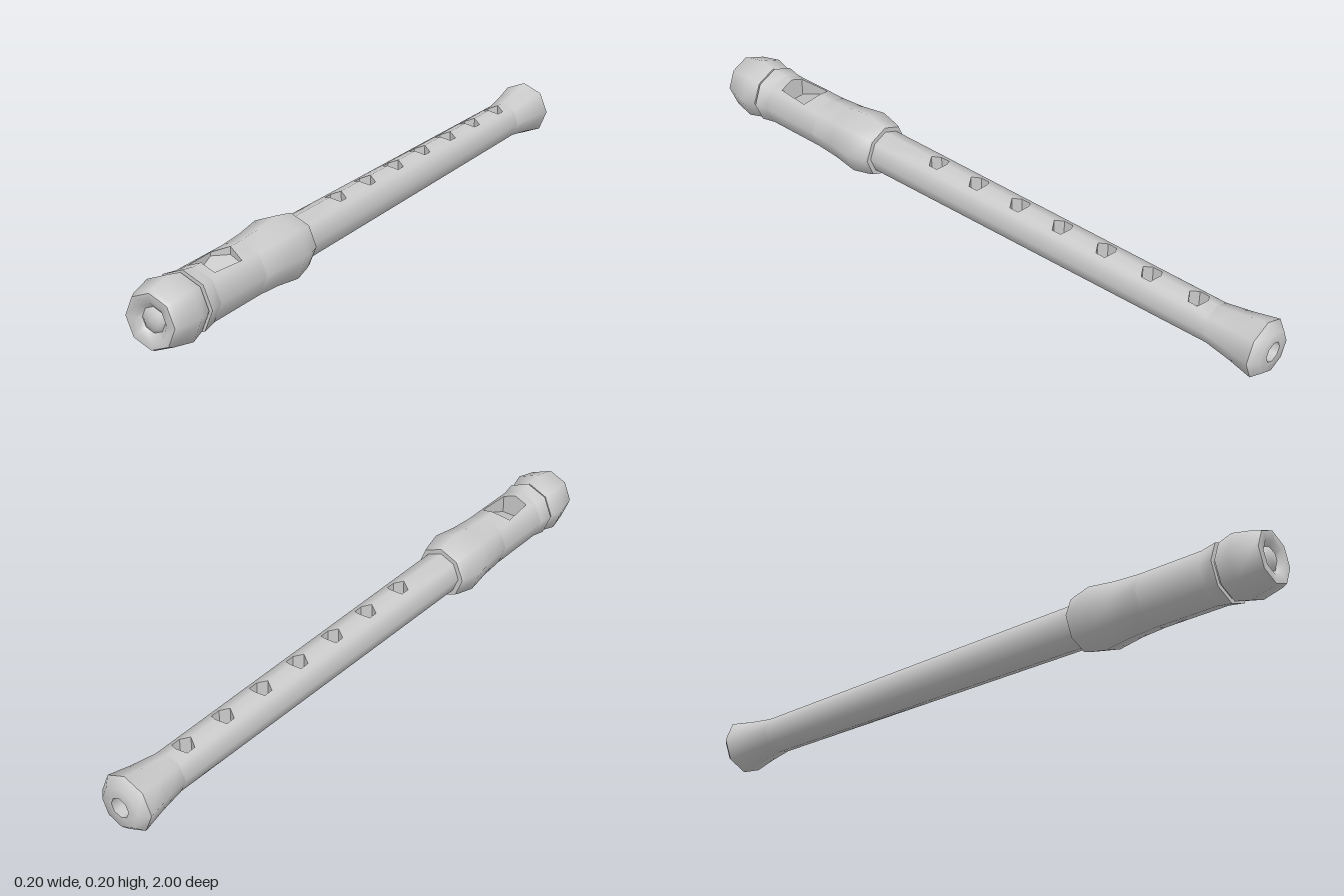
import * as THREE from 'three';
import { toCreasedNormals } from 'three/addons/utils/BufferGeometryUtils.js';

const AXIS_Y = 0.099;
const SIDES = 8;
const material = new THREE.MeshStandardMaterial({ color: 0xcccccc });
const openMaterial = new THREE.MeshStandardMaterial({ color: 0xcccccc, side: THREE.DoubleSide });

function part(name, geometry, mat = material) {
  const mesh = new THREE.Mesh(geometry, mat);
  mesh.name = name;
  return mesh;
}

// Eight-sided turned part along z; profile is a list of [z, radius]
function turned(profile, phiStart = 0, phiLength = Math.PI * 2, segments = SIDES) {
  const points = profile.map(([z, r]) => new THREE.Vector2(r, z));
  const geometry = new THREE.LatheGeometry(points, segments, phiStart, phiLength);
  return geometry.rotateX(Math.PI / 2).translate(0, AXIS_Y, 0);
}

const turnedCreased = (profile) => toCreasedNormals(turned(profile), 0.9);

// Smooth normals pointing away from the axis
function radialNormals(geometry) {
  const p = geometry.attributes.position;
  const n = new Float32Array(p.count * 3);
  for (let i = 0; i < p.count; i++) {
    new THREE.Vector3(p.getX(i), p.getY(i) - AXIS_Y, 0).normalize().toArray(n, i * 3);
  }
  geometry.setAttribute('normal', new THREE.BufferAttribute(n, 3));
  return geometry;
}

// Tapered tube whose two top facets are pierced along the ridge.
// Each hole: half outline [x, z] from its front to its back, plus a floor height rule.
function piercedTube(name, z0, r0, z1, r1, holes) {
  const group = new THREE.Group();
  group.name = name;
  const surfaceY = (x, z) =>
    AXIS_Y + r0 + (r1 - r0) * (z - z0) / (z1 - z0) - Math.abs(x) * Math.tan(Math.PI / 8);

  // Six plain facets
  group.add(part(name + 'Wall', radialNormals(
    turned([[z0, r0], [z1, r1]], Math.PI * 1.25, Math.PI * 1.5, 6))));

  // Two top facets with notches on the ridge
  for (const side of [1, -1]) {
    const outline = [[0, z1], ...holes.flatMap((h) => h.half), [0, z0],
      [r0 * Math.SQRT1_2, z0], [r1 * Math.SQRT1_2, z1]];
    const shape = new THREE.Shape(outline.map(([x, z]) => new THREE.Vector2(side * x, -z)));
    const geometry = new THREE.ShapeGeometry(shape);
    const p = geometry.attributes.position;
    for (let i = 0; i < p.count; i++) {
      const x = p.getX(i), z = -p.getY(i);
      p.setXYZ(i, x, surfaceY(x, z), z);
    }
    group.add(part(name + 'Top', radialNormals(geometry)));
  }

  // Recess walls and floors
  for (const { label, half, floor } of holes) {
    const mirrored = half.filter(([x]) => x > 0).reverse().map(([x, z]) => [-x, z]);
    const loop = [...half, ...mirrored];
    const top = loop.map(([x, z]) => [x, surfaceY(x, z), z]);
    const low = loop.map(([x, z]) => [x, floor(z), z]);
    const v = [];
    loop.forEach((_, i) => {
      const j = (i + 1) % loop.length;
      v.push(...top[i], ...low[i], ...low[j], ...top[i], ...low[j], ...top[j]);
      if (i > 0 && j > 0) v.push(...low[0], ...low[i], ...low[j]);
    });
    const geometry = new THREE.BufferGeometry();
    geometry.setAttribute('position', new THREE.Float32BufferAttribute(v, 3));
    geometry.computeVertexNormals();
    group.add(part(label, geometry, openMaterial));
  }
  return group;
}

export function createModel() {
  const model = new THREE.Group();
  model.name = 'woodwindPipe';

  // Mouth cap with a domed plug in its front
  model.add(part('mouthCap', turnedCreased([
    [0.874, 0.05], [0.874, 0.086], [0.92, 0.098], [0.985, 0.084], [1, 0.077],
    [1, 0.052], [0.985, 0.036]])));
  model.add(part('plug', turnedCreased([[0.985, 0.036], [0.994, 0.024], [0.998, 0]])));

  // Neck inside the narrow groove behind the cap
  model.add(part('neck', turnedCreased([[0.86, 0.075], [0.88, 0.075]])));

  // Head: collar, windowed section and swelling
  model.add(part('headCollar', turnedCreased([[0.82, 0.082], [0.866, 0.09], [0.866, 0.06]])));
  model.add(piercedTube('head', 0.62, 0.082, 0.82, 0.082, [{
    label: 'window',
    half: [[0, 0.79], [0.042, 0.79], [0.05, 0.685], [0, 0.665]],
    floor: (z) => 0.158 - (z - 0.665) * 0.4,
  }]));
  model.add(part('headSwelling', turnedCreased([
    [0.388, 0.05], [0.388, 0.081], [0.4, 0.085], [0.46, 0.098], [0.54, 0.087], [0.62, 0.082]])));

  // Body with seven six-sided finger holes
  const holes = [0.17, 0.015, -0.14, -0.295, -0.45, -0.605, -0.76].map((z) => ({
    label: 'fingerHole',
    half: [[0, z + 0.03], [0.027, z + 0.015], [0.027, z - 0.015], [0, z - 0.03]],
    floor: () => 0.1,
  }));
  model.add(piercedTube('body', -0.82, 0.059, 0.4, 0.066, holes));

  // Flared foot with an open bore
  model.add(part('foot', turnedCreased([
    [-0.85, 0], [-0.85, 0.028], [-1, 0.03], [-1, 0.062], [-0.975, 0.086],
    [-0.9, 0.071], [-0.82, 0.059]])));

  return model;
}
